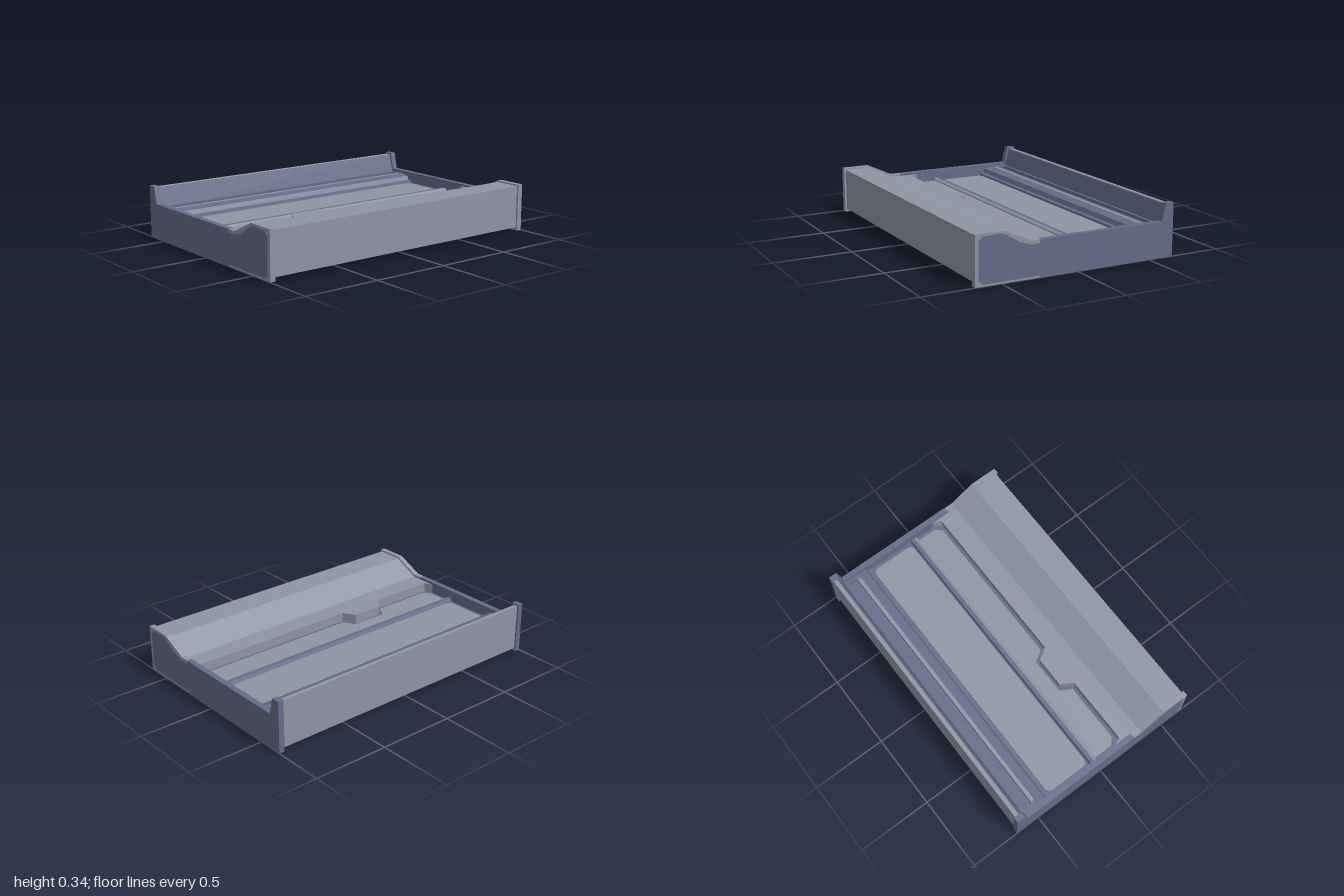
import * as THREE from 'three';

const mat = (name, color) => new THREE.MeshStandardMaterial({ name, color });

export function createModel() {
  const group = new THREE.Group();
  const grey = mat('grey', 0x8f95a3);
  const blue = mat('slate blue', 0x646c89);
  const W = 0.965; // half width between the side panels

  const add = (name, geometry, material) => {
    const mesh = new THREE.Mesh(geometry, material);
    mesh.name = name;
    group.add(mesh);
    return mesh;
  };
  const toShape = pts => new THREE.Shape(pts.map(([a, b]) => new THREE.Vector2(a, b)));

  // Profile of [z, y] points swept along x from x0 to x1
  const sweep = (name, pts, x0, x1, material) => {
    const g = new THREE.ExtrudeGeometry(toShape(pts), { depth: x1 - x0, bevelEnabled: false });
    g.rotateY(-Math.PI / 2).translate(x1, 0, 0);
    return add(name, g, material);
  };
  // Plan shape (x, -z) raised from y0 to y1
  const raise = (name, shape, y0, y1, material) => {
    const g = new THREE.ExtrudeGeometry(shape, { depth: y1 - y0, bevelEnabled: false, curveSegments: 6 });
    g.rotateX(-Math.PI / 2).translate(0, y0, 0);
    return add(name, g, material);
  };
  // Rounded rectangle in plan
  const rounded = (Kind, hx, z0, z1, r) => {
    const s = new Kind(), a = -z1, b = -z0;
    s.moveTo(-hx + r, a).lineTo(hx - r, a).quadraticCurveTo(hx, a, hx, a + r);
    s.lineTo(hx, b - r).quadraticCurveTo(hx, b, hx - r, b);
    s.lineTo(-hx + r, b).quadraticCurveTo(-hx, b, -hx, b - r);
    s.lineTo(-hx, a + r).quadraticCurveTo(-hx, a, -hx + r, a);
    return s;
  };

  // Raised front with its sloping deck
  sweep('frontDeck', [[0.655, 0.02], [0.655, 0.295], [0.48, 0.295], [0.31, 0.21],
    [0.25, 0.21], [0.25, 0.02]], -W, W, grey);

  // Flat deck lip with chamfered corners and a projecting tab
  raise('deckLip', toShape([[-W, -0.25], [W, -0.25], [W, -0.12], [0.94, -0.18], [-0.185, -0.18],
    [-0.235, -0.1], [-0.44, -0.1], [-0.487, -0.18], [-0.94, -0.18], [-W, -0.12]]), 0.14, 0.21, grey);

  // Sunken floor: grey base, blue surface, pale pocket panels
  sweep('base', [[0.25, 0.02], [0.25, 0.14], [-0.6, 0.14], [-0.6, 0.02]], -W, W, grey);
  sweep('floor', [[0.25, 0.14], [0.25, 0.15], [-0.4, 0.15], [-0.4, 0.14]], -W, W, blue);
  raise('rearPocketPanel', rounded(THREE.Shape, 0.94, -0.38, -0.07, 0.04), 0.15, 0.153, grey);
  raise('frontPocketPanel', toShape([[-0.9, -0.16], [-0.5, -0.16], [-0.46, -0.085], [-0.215, -0.085],
    [-0.17, -0.16], [0.9, -0.16], [0.94, -0.12], [0.94, 0.01], [-0.94, 0.01], [-0.94, -0.12]]),
  0.15, 0.153, grey);

  // Cross ridge between the two pockets
  sweep('ridge', [[-0.03, 0.14], [-0.03, 0.17], [-0.055, 0.17], [-0.068, 0.14]], -W, W, blue);
  sweep('ridgeFront', [[-0.008, 0.14], [-0.012, 0.16], [-0.03, 0.17], [-0.03, 0.14]], -W, W, grey);

  // Step and slope up to the rear shelf
  sweep('rearStep', [[-0.38, 0.14], [-0.385, 0.165], [-0.41, 0.168], [-0.425, 0.195], [-0.48, 0.205],
    [-0.48, 0.14]], -W, W, blue);

  // Rear shelf with a long rounded slot
  const shelf = toShape([[-W, 0.48], [W, 0.48], [W, 0.6], [-W, 0.6]]);
  shelf.holes.push(rounded(THREE.Path, 0.945, -0.575, -0.51, 0.02));
  raise('rearShelf', shelf, 0.14, 0.205, blue);
  raise('slotFloor', rounded(THREE.Shape, 0.95, -0.58, -0.505, 0.02), 0.14, 0.185, blue);
  add('shelfStripe', new THREE.BoxGeometry(1.86, 0.002, 0.022).translate(0, 0.206, -0.495), grey);

  // Rear wall with a sloped inner lining
  sweep('rearWall', [[-0.6, 0.02], [-0.6, 0.21], [-0.632, 0.325], [-0.657, 0.325],
    [-0.657, 0.02]], -W, W, grey);
  sweep('rearLining', [[-0.588, 0.19], [-0.625, 0.322], [-0.634, 0.322], [-0.604, 0.19]], -W, W, blue);

  // Side panels: blue rear, grey front with a blue outer inlay
  for (const [side, s] of [['left', 1], ['right', -1]]) {
    const span = (a, b) => (s > 0 ? [a, b] : [-b, -a]);
    const panel = span(0.963, 0.998), skin = span(0.997, 1);
    const rear = [[0.25, 0], [0.25, 0.225], [-0.585, 0.225], [-0.612, 0.335], [-0.667, 0.335], [-0.667, 0]];
    sweep(side + 'PanelRear', rear, ...panel, blue);
    sweep(side + 'PanelRearSkin', rear, ...skin, blue);
    sweep(side + 'PanelFront', [[0.667, 0], [0.667, 0.305], [0.48, 0.305], [0.31, 0.225],
      [0.25, 0.225], [0.25, 0]], ...panel, grey);
    sweep(side + 'PanelInlay', [[0.62, 0.012], [0.645, 0.04], [0.645, 0.265], [0.62, 0.288], [0.51, 0.293],
      [0.46, 0.275], [0.38, 0.225], [0.31, 0.203], [0.25, 0.205], [0.25, 0.012]], ...skin, blue);
  }
  return group;
}
